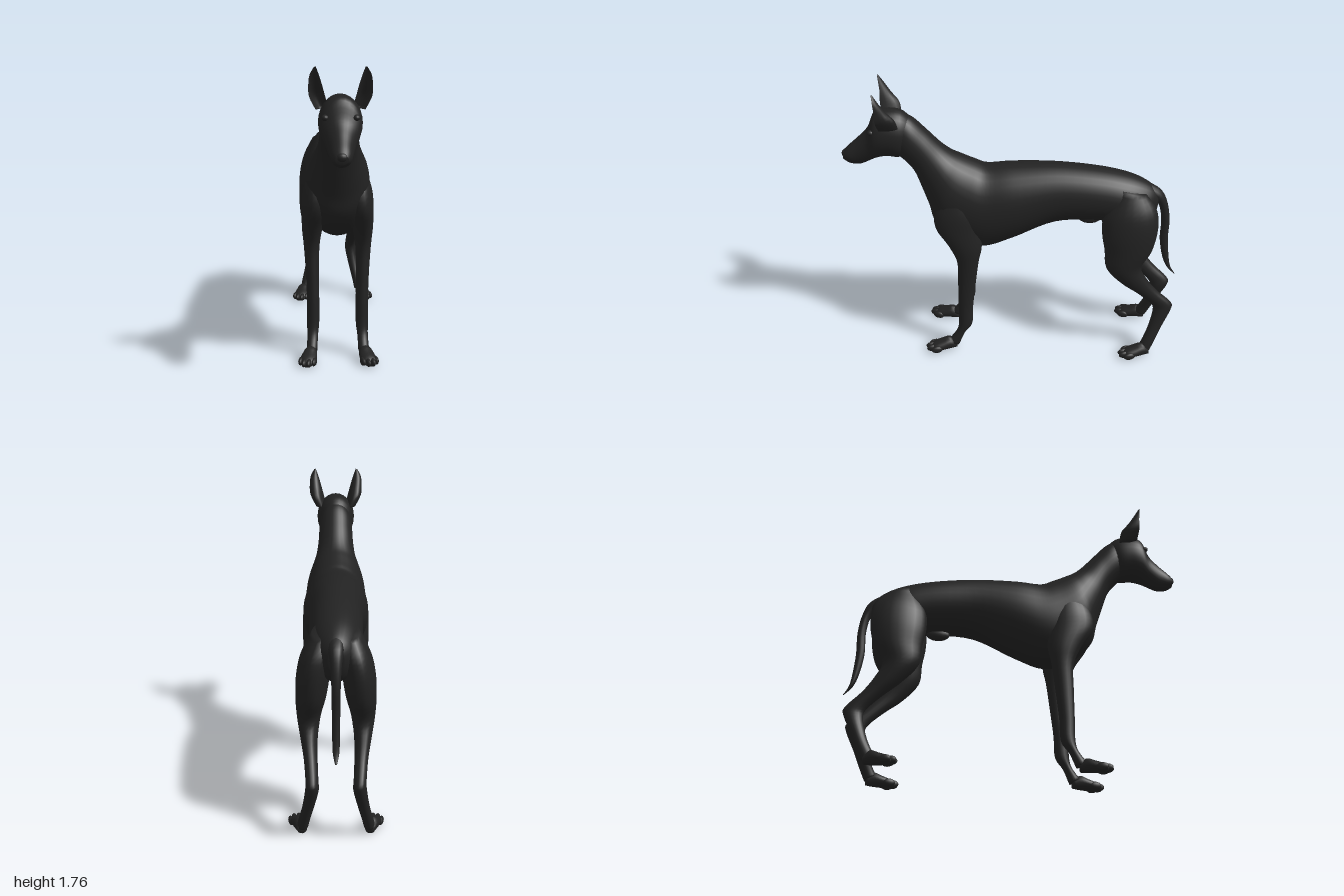
import * as THREE from 'three';

const coat = new THREE.MeshStandardMaterial({ color: 0x222222 });
coat.name = 'black coat';

// Smooth curve through the rows of section values
function refine(rows, sub) {
  const out = [];
  for (let i = 0; i < rows.length - 1; i++) {
    const [p0, p1, p2, p3] = [rows[Math.max(i - 1, 0)], rows[i], rows[i + 1], rows[Math.min(i + 2, rows.length - 1)]];
    for (let k = 0; k < sub; k++) {
      const t = k / sub;
      out.push(p1.map((b, j) => {
        const a = p0[j], c = p2[j], d = p3[j];
        return b + 0.5 * t * (c - a + t * (2 * a - 5 * b + 4 * c - d + t * (3 * (b - c) + d - a)));
      }));
    }
  }
  out.push(rows[rows.length - 1]);
  return out;
}

// Closed skin over oval sections. Row: [z1, y1, z2, y2, xCentre, halfWidth],
// where the two points are opposite edges of the section in side profile.
function loft(name, rows, side = 1, { seg = 20, sub = 4, cupped = false } = {}) {
  const rings = refine(rows, sub), pos = [], idx = [];
  for (const [z1, y1, z2, y2, x, w] of rings) {
    for (let i = 0; i < seg; i++) {
      const a = (i / seg) * Math.PI * 2, c = Math.cos(a);
      const v = !cupped ? c : c > 0 ? 1 - 1.3 * c : 1 + 2 * c;
      pos.push(side * x + w * Math.sin(a), (y1 + y2) / 2 + v * (y1 - y2) / 2, (z1 + z2) / 2 + v * (z1 - z2) / 2);
    }
  }
  for (let r = 0; r < rings.length - 1; r++) {
    for (let i = 0; i < seg; i++) {
      const a = r * seg + i, b = r * seg + (i + 1) % seg;
      idx.push(a, a + seg, b, b, a + seg, b + seg);
    }
  }
  // end caps
  const last = (rings.length - 1) * seg, centre = pos.length / 3;
  for (const [z1, y1, z2, y2, x] of [rings[0], rings[rings.length - 1]]) {
    pos.push(side * x, (y1 + y2) / 2, (z1 + z2) / 2);
  }
  for (let i = 0; i < seg; i++) {
    const j = (i + 1) % seg;
    idx.push(centre, i, j, centre + 1, last + j, last + i);
  }
  const g = new THREE.BufferGeometry();
  g.setAttribute('position', new THREE.Float32BufferAttribute(pos, 3));
  g.setIndex(idx);
  g.computeVertexNormals();
  const mesh = new THREE.Mesh(g, coat);
  mesh.name = name;
  return mesh;
}

function ball(name, x, y, z, rx, ry, rz) {
  const mesh = new THREE.Mesh(new THREE.SphereGeometry(1, 14, 10), coat);
  mesh.position.set(x, y, z);
  mesh.scale.set(rx, ry, rz);
  mesh.name = name;
  return mesh;
}

// Paw with four toes, turned slightly outward; heel at (x, z)
function paw(name, x, z, side) {
  const group = new THREE.Group();
  group.name = name;
  group.add(loft('pad', [
    [0, 0.05, 0, 0.005, 0, 0.026],
    [0.04, 0.085, 0.04, 0, 0, 0.038],
    [0.09, 0.068, 0.09, 0, 0, 0.046],
    [0.14, 0.05, 0.14, 0, 0, 0.044],
    [0.165, 0.03, 0.165, 0, 0, 0.03],
  ], 1, { seg: 14, sub: 3 }));
  [-0.039, -0.014, 0.014, 0.039].forEach((tx, i) => {
    const inner = i === 1 || i === 2;
    group.add(ball('toe', tx, 0.023, inner ? 0.155 : 0.13, 0.015, 0.023, 0.036));
  });
  group.position.set(side * x, 0, z);
  group.rotation.y = side * 0.22;
  return group;
}

export function createModel() {
  const dog = new THREE.Group();
  dog.name = 'dog';

  // Rump, tucked belly, deep chest and neck
  dog.add(loft('torso', [
    [-0.865, 1.08, -0.85, 0.95, 0, 0.04],
    [-0.80, 1.14, -0.80, 0.88, 0, 0.1],
    [-0.68, 1.195, -0.68, 0.87, 0, 0.14],
    [-0.50, 1.235, -0.50, 0.90, 0, 0.15],
    [-0.25, 1.26, -0.25, 0.885, 0, 0.158],
    [0.00, 1.257, 0.00, 0.77, 0, 0.19],
    [0.15, 1.245, 0.18, 0.705, 0, 0.195],
    [0.22, 1.27, 0.34, 0.75, 0, 0.188],
    [0.30, 1.305, 0.465, 0.87, 0, 0.175],
    [0.36, 1.335, 0.50, 0.99, 0, 0.15],
    [0.42, 1.385, 0.54, 1.11, 0, 0.122],
    [0.50, 1.47, 0.58, 1.22, 0, 0.108],
    [0.58, 1.55, 0.64, 1.295, 0, 0.103],
    [0.65, 1.58, 0.69, 1.33, 0, 0.09],
  ], 1, { seg: 32, sub: 5 }));

  // Skull, stop and long muzzle
  dog.add(loft('head', [
    [0.57, 1.53, 0.59, 1.38, 0, 0.06],
    [0.64, 1.595, 0.65, 1.31, 0, 0.106],
    [0.73, 1.605, 0.73, 1.315, 0, 0.118],
    [0.795, 1.585, 0.79, 1.302, 0, 0.11],
    [0.84, 1.485, 0.83, 1.283, 0, 0.086],
    [0.90, 1.42, 0.89, 1.255, 0, 0.067],
    [0.96, 1.365, 0.945, 1.258, 0, 0.054],
    [0.992, 1.33, 0.985, 1.28, 0, 0.034],
  ], 1, { seg: 28, sub: 5 }));
  dog.add(ball('nose', 0, 1.318, 0.978, 0.03, 0.024, 0.022));
  dog.add(ball('sheath', 0, 0.895, -0.46, 0.03, 0.04, 0.07));

  // Thin hanging tail, tip to root
  dog.add(loft('tail', [
    [-1.0, 0.488, -0.992, 0.492, 0, 0.006],
    [-0.972, 0.535, -0.945, 0.545, 0, 0.018],
    [-0.955, 0.61, -0.914, 0.62, 0, 0.021],
    [-0.94, 0.75, -0.89, 0.75, 0, 0.023],
    [-0.94, 0.88, -0.89, 0.88, 0, 0.025],
    [-0.92, 1.0, -0.87, 0.985, 0, 0.03],
    [-0.877, 1.09, -0.83, 1.03, 0, 0.04],
    [-0.79, 1.143, -0.77, 1.06, 0, 0.05],
  ], 1, { seg: 14 }));

  for (const side of [1, -1]) {
    const which = side > 0 ? 'left' : 'right';

    // Upright cupped ears, tip to base
    dog.add(loft(which + 'Ear', [
      [0.782, 1.758, 0.774, 1.754, 0.133, 0.004],
      [0.775, 1.715, 0.745, 1.705, 0.137, 0.024],
      [0.768, 1.66, 0.705, 1.645, 0.132, 0.036],
      [0.768, 1.60, 0.66, 1.59, 0.122, 0.042],
      [0.755, 1.53, 0.65, 1.53, 0.095, 0.035],
    ], side, { seg: 20, cupped: true }));
    dog.add(ball(which + 'Eye', side * 0.082, 1.495, 0.808, 0.02, 0.017, 0.022));

    // Shoulder and straight foreleg
    dog.add(loft(which + 'Foreleg', [
      [0.37, 1.16, 0.24, 1.14, 0.11, 0.04],
      [0.45, 1.02, 0.20, 1.00, 0.122, 0.074],
      [0.46, 0.90, 0.185, 0.88, 0.132, 0.074],
      [0.385, 0.78, 0.185, 0.76, 0.146, 0.06],
      [0.335, 0.66, 0.205, 0.66, 0.15, 0.046],
      [0.333, 0.50, 0.225, 0.50, 0.147, 0.038],
      [0.335, 0.32, 0.245, 0.32, 0.143, 0.036],
      [0.335, 0.20, 0.252, 0.19, 0.144, 0.036],
      [0.35, 0.13, 0.298, 0.12, 0.147, 0.031],
      [0.40, 0.06, 0.335, 0.03, 0.152, 0.032],
    ], side));
    dog.add(paw(which + 'Forepaw', 0.15, 0.355, side));

    // Thigh, angled shank, hock and pastern
    dog.add(loft(which + 'HindLeg', [
      [-0.62, 1.15, -0.78, 1.11, 0.08, 0.05],
      [-0.54, 1.00, -0.845, 1.02, 0.105, 0.085],
      [-0.53, 0.87, -0.86, 0.90, 0.125, 0.092],
      [-0.55, 0.75, -0.835, 0.76, 0.138, 0.084],
      [-0.565, 0.63, -0.775, 0.64, 0.15, 0.066],
      [-0.66, 0.52, -0.815, 0.545, 0.148, 0.048],
      [-0.76, 0.44, -0.885, 0.45, 0.138, 0.038],
      [-0.85, 0.355, -0.975, 0.36, 0.13, 0.035],
      [-0.868, 0.30, -0.978, 0.31, 0.13, 0.037],
      [-0.845, 0.19, -0.93, 0.20, 0.15, 0.033],
      [-0.815, 0.11, -0.89, 0.10, 0.172, 0.032],
      [-0.79, 0.06, -0.86, 0.03, 0.185, 0.032],
    ], side));
    dog.add(paw(which + 'HindPaw', 0.187, -0.85, side));
  }
  return dog;
}
